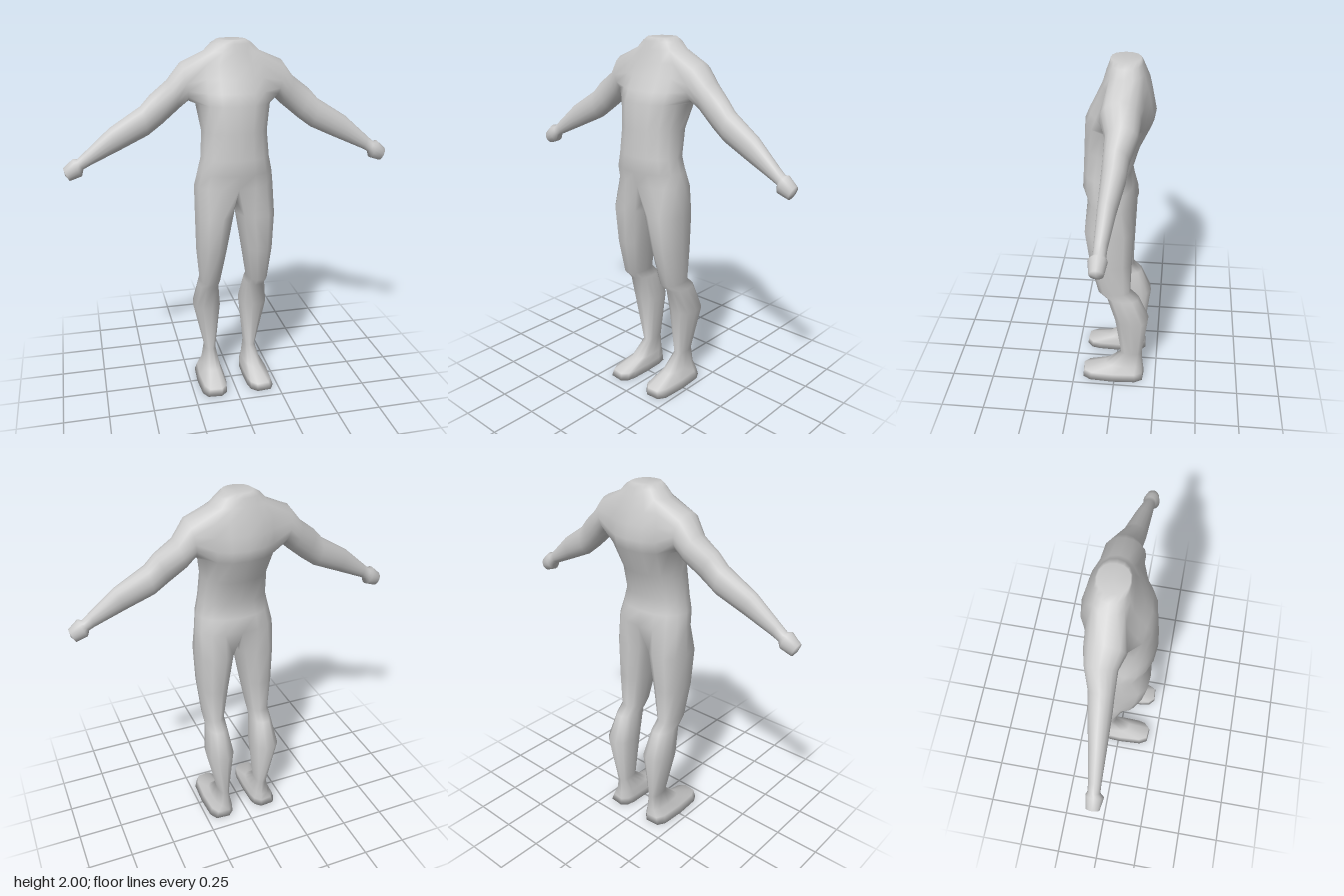
import * as THREE from 'three';
import { mergeVertices } from 'three/addons/utils/BufferGeometryUtils.js';

const CX = 0.01; // the body's mirror plane

// Torso rings from hip to neck: y, half width, front z, back z
const TORSO = [
  [1.24, 0.22, 0.155, -0.12], [1.32, 0.205, 0.18, -0.1], [1.4, 0.187, 0.175, -0.085],
  [1.54, 0.177, 0.168, -0.125], [1.68, 0.2, 0.16, -0.19], [1.74, 0.205, 0.135, -0.2],
  [1.81, 0.205, 0.1, -0.185], [1.88, 0.2, 0.068, -0.168], [1.94, 0.15, 0.05, -0.145],
  [1.98, 0.11, 0.035, -0.13], [2.0, 0.075, 0.03, -0.12],
];
// Arm rings: upper x, y, lower x, y, middle z, half depth
const ARM = [
  [0.28, 1.89, 0.245, 1.69, -0.04, 0.1], [0.35, 1.8, 0.29, 1.65, -0.05, 0.08],
  [0.44, 1.73, 0.38, 1.575, -0.033, 0.063], [0.49, 1.675, 0.455, 1.52, -0.028, 0.06],
  [0.65, 1.575, 0.6, 1.455, -0.012, 0.045], [0.78, 1.46, 0.76, 1.385, 0, 0.032],
  [0.82, 1.425, 0.79, 1.37, 0.002, 0.031], [0.84, 1.43, 0.8, 1.335, 0.008, 0.045],
  [0.89, 1.385, 0.86, 1.315, 0.008, 0.034],
];
// Leg rings from thigh to sole: y, inner x, outer x, front z, back z, roundness
const LEG = [
  [1.08, 0.01, 0.22, 0.167, -0.107, 0.8], [0.87, 0.045, 0.215, 0.14, -0.097, 0.85],
  [0.67, 0.08, 0.195, 0.095, -0.09, 0.85], [0.62, 0.08, 0.195, 0.045, -0.14, 0.85],
  [0.47, 0.06, 0.22, 0, -0.2, 0.85], [0.18, 0.09, 0.155, -0.035, -0.165, 0.85],
  [0.09, 0.075, 0.175, 0.06, -0.17, 0.75], [0.048, 0.062, 0.205, 0.195, -0.176, 0.6],
  [0.004, 0.06, 0.22, 0.2, -0.18, 0.55],
];

const soft = (v, p) => Math.sign(v) * Math.abs(v) ** p;
const oval = (a, x, rx, y, front, back, p) => [
  x + rx * soft(Math.sin(a), p), y,
  (front + back) / 2 + (front - back) / 2 * soft(Math.cos(a), p),
];
const mirror = ([x, y, z]) => [2 * CX - x, y, z];
const steps = (n, f) => Array.from({ length: n }, (_, k) => f(k));

export function createModel() {
  const pos = [];
  const tri = (a, b, c, flip) => pos.push(...a, ...(flip ? c : b), ...(flip ? b : c));

  // Joins a row of closed rings, leaving out quads where skip says so
  function skin(rings, flip, skip = () => false) {
    for (let i = 0; i + 1 < rings.length; i++) {
      const n = rings[i].length;
      for (let k = 0; k < n; k++) {
        if (skip(i, k)) continue;
        const m = (k + 1) % n;
        tri(rings[i][k], rings[i][m], rings[i + 1][m], flip);
        tri(rings[i][k], rings[i + 1][m], rings[i + 1][k], flip);
      }
    }
  }
  // Closes the last ring with a fan around a middle point
  function cap(ring, flip, push = [0, 0, 0]) {
    const mid = push.map((d, j) => d + ring.reduce((s, p) => s + p[j], 0) / ring.length);
    ring.forEach((p, k) => tri(p, ring[(k + 1) % ring.length], mid, flip));
  }

  // Torso, with an opening at each shoulder
  const torso = TORSO.map(([y, rx, f, b]) =>
    steps(16, k => oval(k * Math.PI / 8, CX, rx, y, f, b, 0.9)));
  skin(torso, false, (i, k) => i >= 4 && i < 8 && k % 8 >= 2 && k % 8 < 6);
  cap(torso[10], false, [0, -0.01, 0]);

  // Rim of the shoulder opening: top middle, front, bottom, back
  const rim = [
    [8, 4], [8, 3], [8, 2], [7, 2], [6, 2], [5, 2], [4, 2], [4, 3],
    [4, 4], [4, 5], [4, 6], [5, 6], [6, 6], [7, 6], [8, 6], [8, 5],
  ].map(([i, k]) => torso[i][k]);

  // Top of the thigh: outer half of the hip ring, then under the crotch
  const hip = torso[0];
  const thighTop = [
    ...hip.slice(0, 9),
    ...[0.25, 0.5, 0.75].map(t => [
      CX, 1.24 - 0.11 * Math.sin(t * Math.PI) ** 0.7,
      THREE.MathUtils.lerp(hip[8][2], hip[0][2], t),
    ]),
  ];

  for (const right of [false, true]) {
    const place = ring => (right ? ring.map(mirror) : ring);

    // Arm and fist; the right one reaches slightly further and lower
    const armRings = ARM.map(([ux, uy, lx, ly, z, rz]) => steps(16, k => {
      const a = k * Math.PI / 8, c = Math.cos(a) / 2;
      const x = (ux + lx) / 2 + c * (ux - lx);
      const t = right ? Math.max(0, (x - 0.28) / 0.6) : 0;
      return [x + 0.02 * t, (uy + ly) / 2 + c * (uy - ly) - 0.01 * t, z + rz * Math.sin(a)];
    }));
    const arm = [rim, ...armRings].map(place);
    skin(arm, right);
    cap(arm[arm.length - 1], right, [right ? -0.008 : 0.008, -0.005, 0]);

    // Leg and foot
    const legRings = LEG.map(([y, inner, outer, f, b, p]) => steps(12, k => {
      const deg = k <= 8 ? -45 + 33.75 * k : 225 + 22.5 * (k - 8);
      return oval(deg * Math.PI / 180, CX + (inner + outer) / 2, (outer - inner) / 2, y, f, b, p);
    }));
    const leg = [thighTop, ...legRings].map(place);
    skin(leg, !right);
    cap(leg[leg.length - 1], !right, [0, -0.004, 0]);
  }

  // One seamless smooth skin
  let geometry = new THREE.BufferGeometry();
  geometry.setAttribute('position', new THREE.Float32BufferAttribute(pos, 3));
  geometry = mergeVertices(geometry, 1e-4);
  geometry.computeVertexNormals();

  const body = new THREE.Mesh(geometry, new THREE.MeshStandardMaterial({ color: 0xcccccc }));
  body.name = 'body';
  const group = new THREE.Group();
  group.name = 'headlessFigure';
  group.add(body);
  return group;
}
